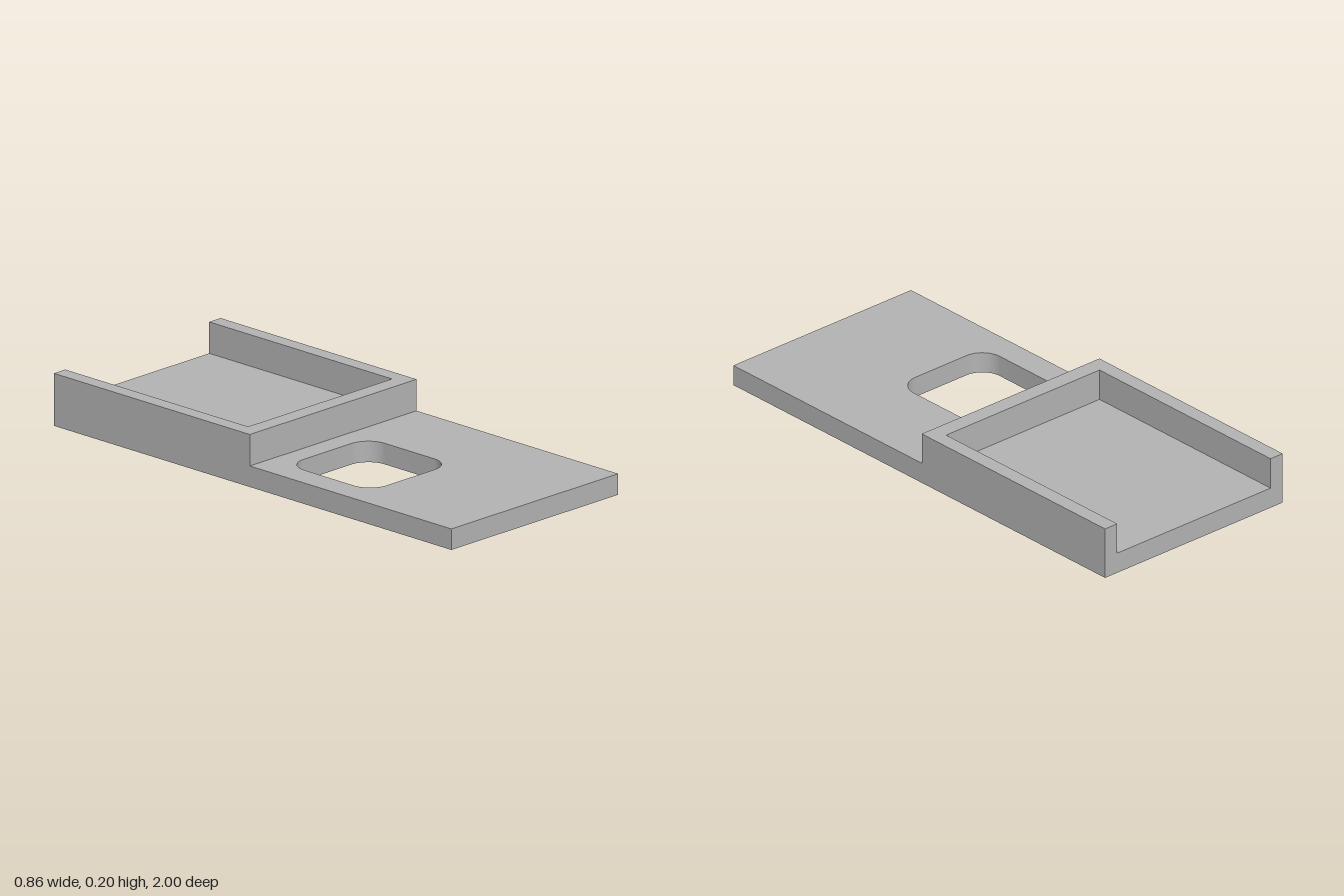
import * as THREE from 'three';
import { toCreasedNormals } from 'three/addons/utils/BufferGeometryUtils.js';

const W = 0.432, INNER = 0.373; // outer and inner half widths
const BASE = 0.08, TOP = 0.2;   // plate thickness and rim height

// Trace a closed outline from [x, z] points
function outline(points) {
  return new THREE.Shape(points.map(([x, z]) => new THREE.Vector2(x, -z)));
}

// Rounded square hole in plan
function roundedHole(x0, x1, z0, z1, r) {
  const p = new THREE.Path(), y0 = -z1, y1 = -z0, q = Math.PI / 2;
  p.moveTo(x0 + r, y0);
  p.absarc(x1 - r, y0 + r, r, -q, 0);
  p.absarc(x1 - r, y1 - r, r, 0, q);
  p.absarc(x0 + r, y1 - r, r, q, 2 * q);
  p.absarc(x0 + r, y0 + r, r, 2 * q, 3 * q);
  p.closePath();
  return p;
}

// Extrude a plan shape upward between two heights
function slab(name, shape, y0, y1, material) {
  const geo = new THREE.ExtrudeGeometry(shape, { depth: y1 - y0, bevelEnabled: false, curveSegments: 10 });
  geo.rotateX(-Math.PI / 2);
  geo.translate(0, y0, 0);
  const mesh = new THREE.Mesh(toCreasedNormals(geo, 0.6), material);
  mesh.name = name;
  return mesh;
}

export function createModel() {
  const model = new THREE.Group();
  model.name = 'steppedTray';
  const grey = new THREE.MeshStandardMaterial({ color: 0xb4b4b4 });
  grey.name = 'grey';

  // Base plate with its off-centre rounded opening
  const plate = outline([[-W, 1], [W, 1], [W, -1], [-W, -1]]);
  plate.holes.push(roundedHole(-0.328, 0.09, 0.073, 0.492, 0.085));
  model.add(slab('basePlate', plate, 0, BASE, grey));

  // U-shaped rim, open at the back
  const rim = outline([
    [-W, -0.014], [W, -0.014], [W, -1], [INNER, -1],
    [INNER, -0.08], [-INNER, -0.08], [-INNER, -1], [-W, -1],
  ]);
  model.add(slab('trayRim', rim, BASE, TOP, grey));

  return model;
}
